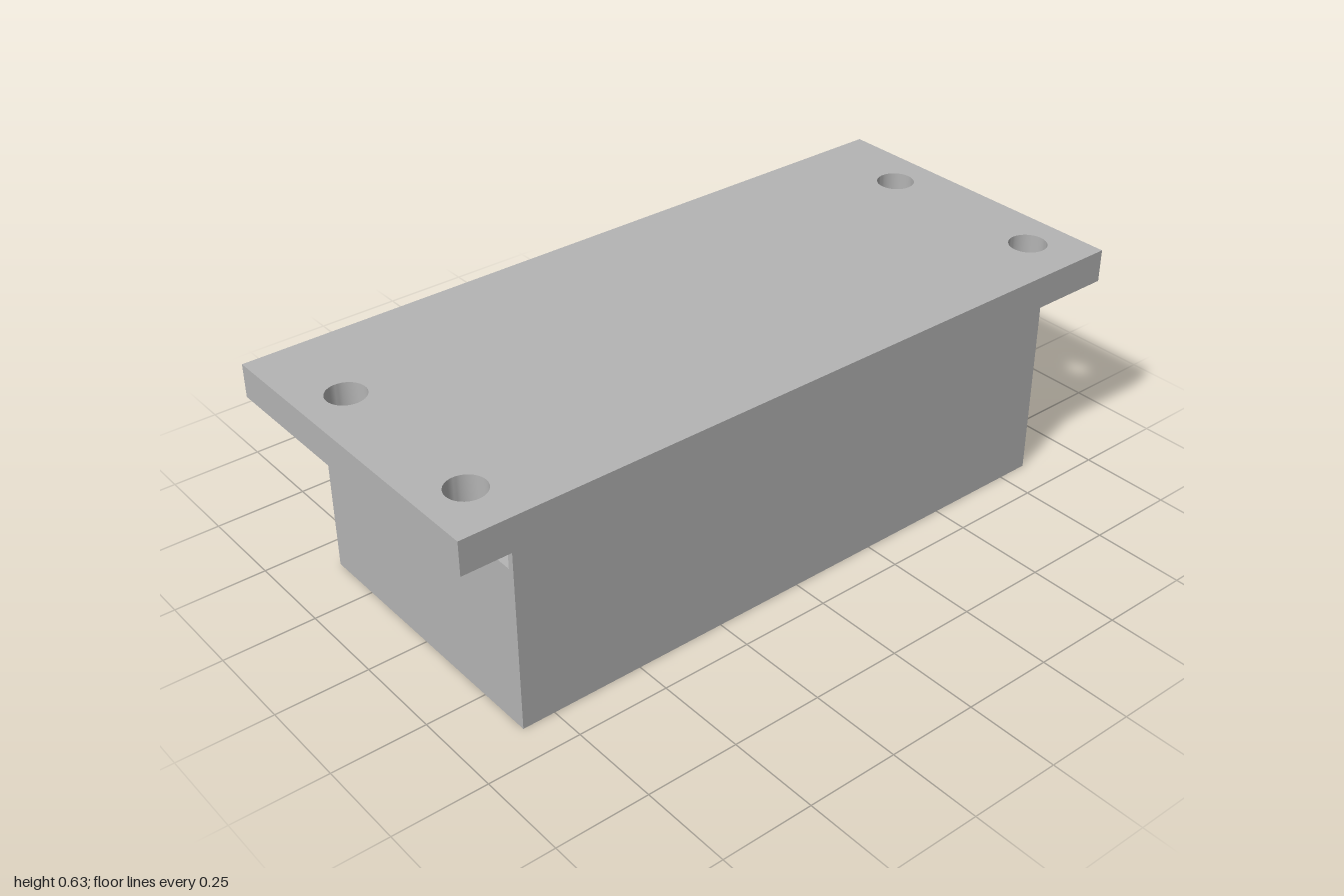
import * as THREE from 'three';
import { mergeGeometries, toCreasedNormals } from 'three/addons/utils/BufferGeometryUtils.js';

// Plan loops are counter-clockwise lists of (x, -z) points.
const v2 = (x, y) => new THREE.Vector2(x, y);
const rect = (hx, hy, cx = 0, cy = 0) =>
  [v2(cx - hx, cy - hy), v2(cx + hx, cy - hy), v2(cx + hx, cy + hy), v2(cx - hx, cy + hy)];
const arc = (cx, cy, r, a0, a1, n) => Array.from({ length: n + 1 }, (_, i) => {
  const a = a0 + (a1 - a0) * i / n;
  return v2(cx + r * Math.cos(a), cy + r * Math.sin(a));
});
const circle = (cx, cy, r) => arc(cx, cy, r, 0, Math.PI * 2, 40).slice(0, -1);

const fromPositions = (p) =>
  new THREE.BufferGeometry().setAttribute('position', new THREE.Float32BufferAttribute(p, 3));

// Side wall between two matching loops; inward = true lines a hole
function wall(low, y0, high, y1, inward = false) {
  const p = [];
  low.forEach((a, i) => {
    const j = (i + 1) % low.length, b = low[j], c = high[j], d = high[i];
    const A = [a.x, y0, -a.y], B = [b.x, y0, -b.y], C = [c.x, y1, -c.y], D = [d.x, y1, -d.y];
    const tris = inward ? [A, C, B, A, D, C] : [A, B, C, A, C, D];
    tris.forEach((q) => p.push(...q));
  });
  return fromPositions(p);
}

// Flat horizontal face with optional holes
function face(loop, y, up, holes = []) {
  const shape = new THREE.Shape(loop);
  holes.forEach((h) => shape.holes.push(new THREE.Path(h)));
  const g = new THREE.ShapeGeometry(shape).toNonIndexed();
  const s = g.attributes.position, p = [];
  for (let i = 0; i < s.count; i += 3) {
    for (const k of up ? [0, 1, 2] : [0, 2, 1]) p.push(s.getX(i + k), y, -s.getY(i + k));
  }
  return fromPositions(p);
}

export function createModel() {
  const group = new THREE.Group();
  const grey = new THREE.MeshStandardMaterial({ color: 0xb4b4b4 });
  grey.name = 'grey';
  const add = (name, parts) => {
    const mesh = new THREE.Mesh(toCreasedNormals(mergeGeometries(parts), 0.5), grey);
    mesh.name = name;
    group.add(mesh);
  };

  const holeX = 0.88, holeRows = [-0.305, 0.185];
  const plateY = 0.542, topY = 0.632, recessY = 0.552, notchY = 0.445;
  const bodyX = 0.838, bodyZ = 0.403, notchHalf = 0.081;
  const notchR = Math.hypot(holeX - bodyX, notchHalf);

  // Flange plate with four screw holes, each with a shallow recess below
  const outline = rect(1, 0.454);
  const centres = [-1, 1].flatMap((s) => holeRows.map((r) => [s * holeX, r]));
  const bores = centres.map(([x, y]) => circle(x, y, 0.051));
  const recesses = centres.map(([x, y]) => circle(x, y, notchR));
  add('flangePlate', [
    wall(outline, plateY, outline, topY),
    face(outline, topY, true, bores),
    face(outline, plateY, false, recesses),
    ...bores.map((b) => wall(b, recessY, b, topY, true)),
    ...recesses.map((r) => wall(r, plateY, r, recessY, true)),
    ...recesses.map((r, i) => face(r, recessY, false, [bores[i]])),
  ]);

  // Housing shell, notched under every screw hole
  const half = Math.atan2(notchHalf, holeX - bodyX);
  const rightNotches = holeRows.map((r) =>
    arc(holeX, r, notchR, Math.PI + half, Math.PI - half, 16));
  const leftNotches = [...holeRows].reverse().map((r) => arc(-holeX, r, notchR, half, -half, 16));
  const base = rect(bodyX, bodyZ);
  const notched = [base[0], base[1], ...rightNotches.flat(), base[2], base[3], ...leftNotches.flat()];
  const mouth = rect(0.645, 0.35);
  add('housingShell', [
    wall(base, 0, base, notchY),
    wall(notched, notchY, notched, plateY),
    ...[...rightNotches, ...leftNotches].map((n) => face(n, notchY, true)),
    face(base, 0, false, [mouth]),
  ]);

  // Cavity: chamfered mouth, throat, then a wider chamber with end ledges
  const throat = rect(0.605, 0.312), chamber = rect(0.74, 0.312);
  add('cavity', [
    wall(mouth, 0, throat, 0.036, true),
    wall(throat, 0.036, throat, 0.16, true),
    wall(chamber, 0.16, chamber, plateY, true),
    ...[-1, 1].map((s) => face(rect(0.0675, 0.312, s * 0.6725), 0.16, true)),
  ]);
  return group;
}
